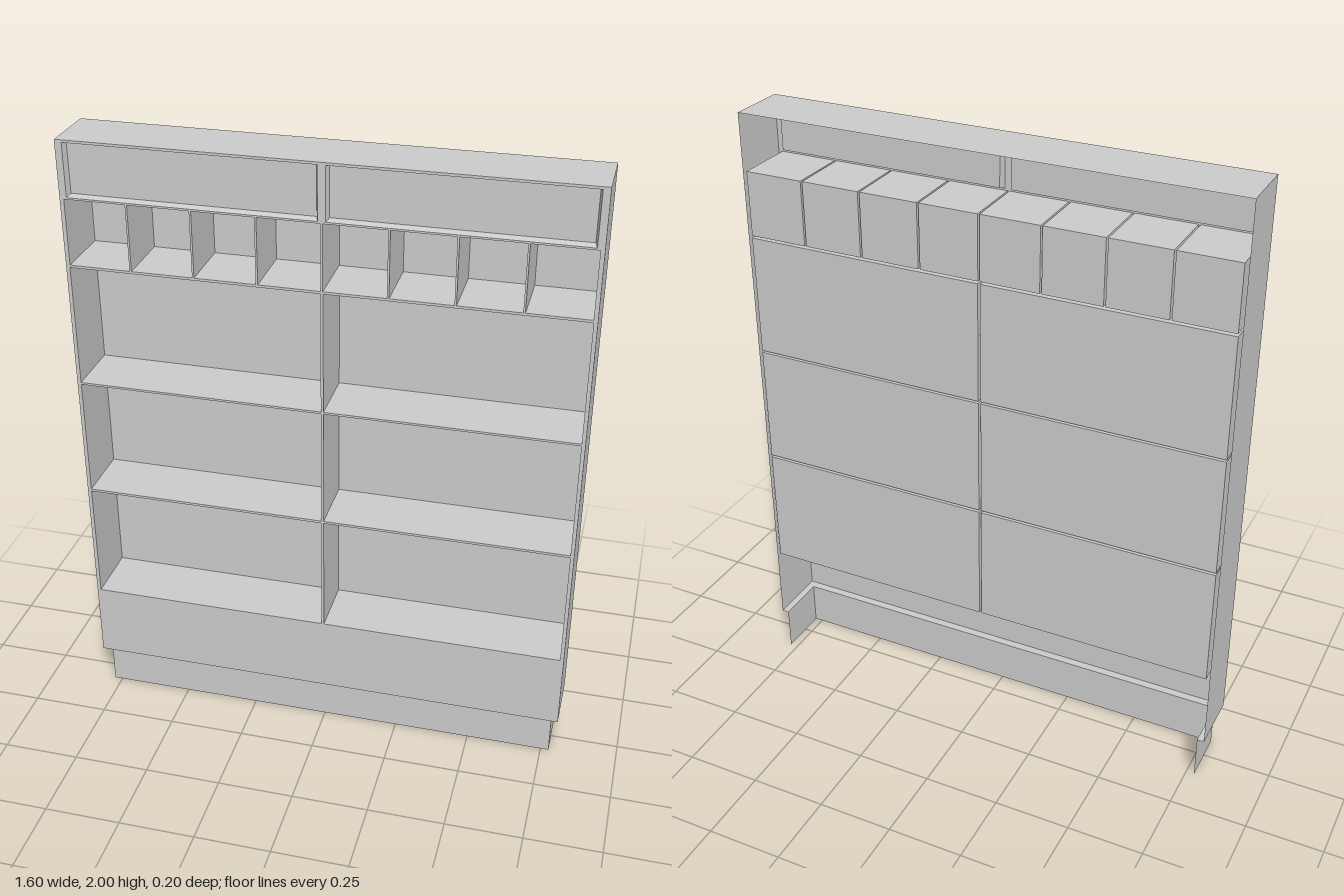
import * as THREE from 'three';
import { mergeVertices } from 'three/addons/utils/BufferGeometryUtils.js';

const FRONT = 0.1, BACK = -0.1, W = 0.8, TOP = 2, BASE = 0.148;
const material = new THREE.MeshStandardMaterial({ color: 0xcccccc, side: THREE.DoubleSide, flatShading: true });

// Thin sheet from four corners, counter-clockwise seen from its front
function sheets(name, quads) {
  const pos = [];
  for (const [a, b, c, d] of quads) pos.push(...a, ...b, ...c, ...a, ...c, ...d);
  const g = new THREE.BufferGeometry();
  g.setAttribute('position', new THREE.Float32BufferAttribute(pos, 3));
  const geometry = mergeVertices(g).toNonIndexed();
  geometry.computeVertexNormals();
  const mesh = new THREE.Mesh(geometry, material);
  mesh.name = name;
  return mesh;
}

// Corners of an upright rectangle at depth z
const rect = ([x0, x1, y0, y1], z) => [[x0, y0, z], [x1, y0, z], [x1, y1, z], [x0, y1, z]];

// Four walls joining two rectangles, facing inwards
const walls = (near, far) => near.map((p, i) => {
  const j = (i + 1) % 4;
  return [p, near[j], far[j], far[i]];
});

// Open-fronted compartment: four walls and a back
function recess(name, r, depth, inset = 0) {
  const [x0, x1, y0, y1] = r;
  const near = rect(r, FRONT);
  const far = rect([x0 + inset, x1 - inset, y0 + inset, y1 - inset], FRONT - depth);
  return sheets(name, [...walls(near, far), far]);
}

export function createModel() {
  const model = new THREE.Group();
  model.name = 'bookcase';
  const openings = [];
  const add = (name, r, depth, inset) => {
    openings.push(r);
    model.add(recess(name, r, depth, inset));
  };

  // Three tiers of wide shelves and the header panels, left and right
  for (const s of [-1, 1]) {
    const span = (a, b) => (s > 0 ? [a, b] : [-b, -a]);
    for (const [y0, y1] of [[0.403, 0.802], [0.81, 1.2], [1.207, 1.6]])
      add('shelfCompartment', [...span(0.004, 0.788), y0, y1], FRONT - BACK);
    add('headerPanel', [...span(0.012, 0.778), 1.824, 1.992], 0.02, 0.007);
  }

  // Row of eight pigeonholes
  const pitch = 0.1975;
  for (let i = 0; i < 8; i++) {
    const x = (i - 4) * pitch;
    add('pigeonhole', [x + 0.003, x + pitch - 0.003, 1.608, 1.818], FRONT - BACK);
  }

  // Face frame pierced by every opening
  const shape = new THREE.Shape(rect([-W, W, BASE, TOP], 0).map(([x, y]) => new THREE.Vector2(x, y)));
  for (const r of openings)
    shape.holes.push(new THREE.Path(rect(r, 0).reverse().map(([x, y]) => new THREE.Vector2(x, y))));
  const face = new THREE.Mesh(new THREE.ShapeGeometry(shape), material);
  face.name = 'faceFrame';
  face.position.z = FRONT;
  model.add(face);

  // Outer sides and top; the back stays open
  const side = (x, y0, y1, z) => {
    const q = [[x, y0, z], [x, y0, BACK], [x, y1, BACK], [x, y1, z]];
    return x > 0 ? q : q.reverse();
  };
  model.add(sheets('leftSide', [side(W, BASE, TOP, FRONT)]));
  model.add(sheets('rightSide', [side(-W, BASE, TOP, FRONT)]));
  model.add(sheets('top', [[[-W, TOP, FRONT], [W, TOP, FRONT], [W, TOP, BACK], [-W, TOP, BACK]]]));

  // Set-back plinth with the narrow ledge above it
  const P = 0.777, PZ = 0.073;
  const ledge = (x0, x1, z0, z1) => [[x0, BASE, z0], [x1, BASE, z0], [x1, BASE, z1], [x0, BASE, z1]];
  model.add(sheets('plinth', [rect([-P, P, 0, BASE], PZ), side(P, 0, BASE, PZ), side(-P, 0, BASE, PZ)]));
  model.add(sheets('plinthLedge', [
    ledge(-W, W, PZ, FRONT), ledge(P, W, BACK, PZ), ledge(-W, -P, BACK, PZ),
  ]));
  return model;
}
